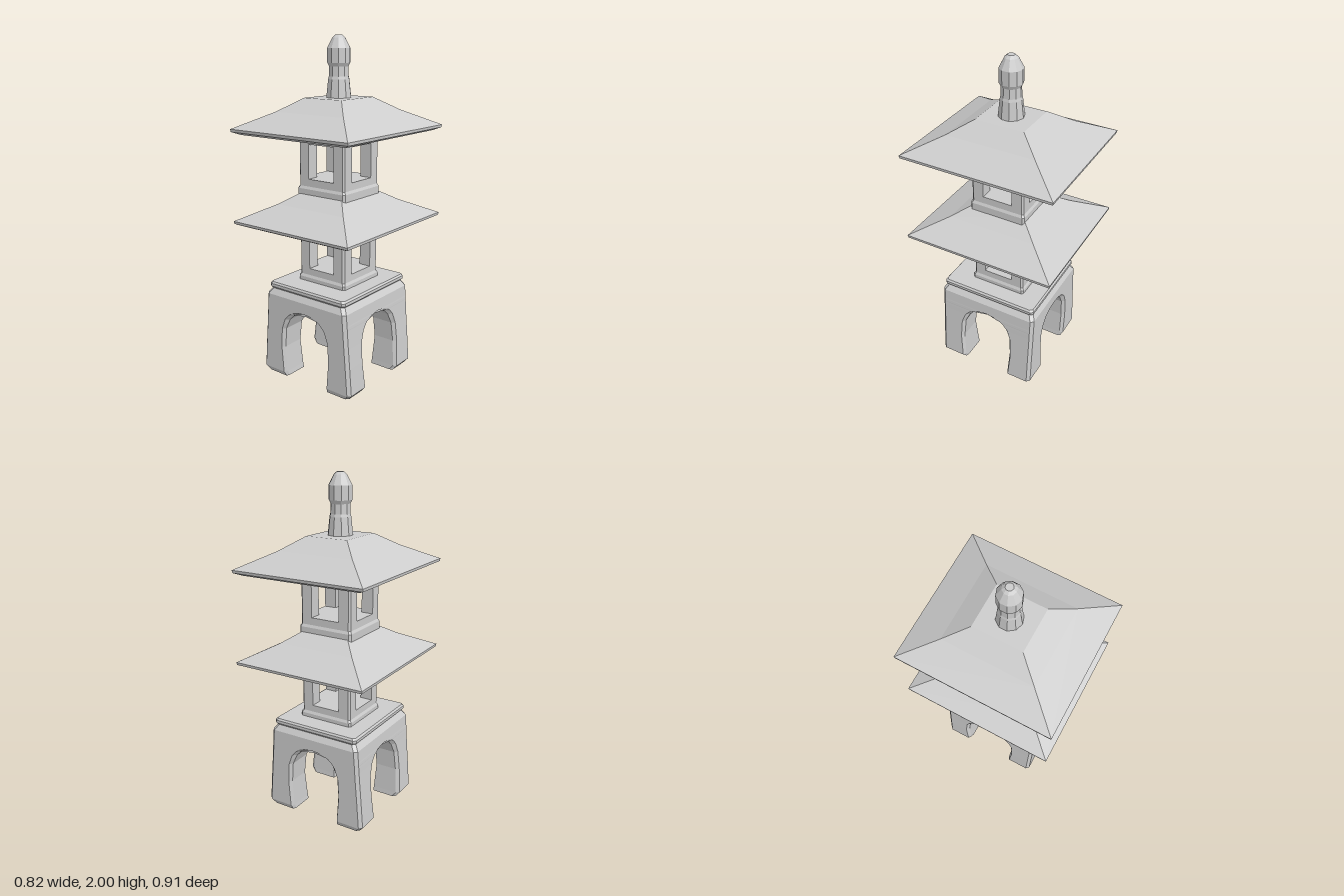
import * as THREE from 'three';

const stone = new THREE.MeshStandardMaterial({ color: 0xcccccc, side: THREE.DoubleSide });
stone.name = 'stone';

// Join rings of [x, y, z] points (ordered from +z towards +x) into faceted walls, bottom to top.
function loft(rings, capped = true, skip = () => false) {
  const pos = [];
  const tri = (a, b, c) => pos.push(...a, ...b, ...c);
  const n = rings[0].length;
  for (let i = 0; i < rings.length - 1; i++) {
    for (let j = 0; j < n; j++) {
      if (skip(i, j)) continue;
      const k = (j + 1) % n;
      const [a, b, c, d] = [rings[i][j], rings[i][k], rings[i + 1][k], rings[i + 1][j]];
      tri(a, b, c);
      tri(a, c, d);
    }
  }
  if (capped) {
    const lo = rings[0], hi = rings[rings.length - 1];
    for (let j = 1; j < n - 1; j++) {
      tri(lo[0], lo[j + 1], lo[j]);
      tri(hi[0], hi[j], hi[j + 1]);
    }
  }
  const geo = new THREE.BufferGeometry();
  geo.setAttribute('position', new THREE.Float32BufferAttribute(pos, 3));
  geo.computeVertexNormals();
  return geo;
}

function add(parent, name, geo) {
  const mesh = new THREE.Mesh(geo, stone);
  mesh.name = name;
  parent.add(mesh);
  return mesh;
}

// Rectangle at height y, with optional chamfered corners.
function rect(y, hx, hz = hx, c = 0) {
  if (!c) return [[-hx, y, hz], [hx, y, hz], [hx, y, -hz], [-hx, y, -hz]];
  return [
    [-hx + c, y, hz], [hx - c, y, hz], [hx, y, hz - c], [hx, y, -hz + c],
    [hx - c, y, -hz], [-hx + c, y, -hz], [-hx, y, -hz + c], [-hx, y, hz - c],
  ];
}

// Gently curved hip roof with a bevelled eave.
function addRoof(parent, name, y) {
  const levels = [
    [0, 0.37, 0.415], [0.017, 0.41, 0.453], [0.033, 0.412, 0.456],
    [0.125, 0.24, 0.268], [0.2, 0.132, 0.146],
  ];
  add(parent, name, loft(levels.map(([h, x, z]) => rect(y + h, x, z))));
}

// Open chamber: flared sill, four corner posts and a lintel.
function addChamber(parent, name, y0, flare, sill, lintel, top) {
  const g = new THREE.Group();
  g.name = name;
  parent.add(g);
  const H = 0.164, W = 0.09, c = 0.011;
  add(g, 'sill', loft([
    rect(y0, 0.172, 0.172, c), rect(flare - 0.015, 0.172, 0.172, c),
    rect(flare, H, H, c), rect(sill, H, H, c),
  ]));
  add(g, 'lintel', loft([rect(lintel, H, H, c), rect(top, H, H, c)]));
  const section = y => [[W, y, H], [H - c, y, H], [H, y, H - c], [H, y, W], [W, y, W]];
  const post = loft([section(sill), section(lintel)], false);
  for (let i = 0; i < 4; i++) add(g, 'cornerPost', post).rotation.y = i * Math.PI / 2;
}

// Quarter of the arched base: a leg that widens upwards until the arches close.
function legGeometry(sx, sz) {
  // height, passage half width, arch half width on the face, outer half x, outer half z
  const levels = [
    [0, 0.15, 0.158, 0.305, 0.3],
    [0.03, 0.153, 0.165, 0.33, 0.315],
    [0.19, 0.164, 0.178, 0.318, 0.315],
    [0.31, 0.156, 0.172, 0.308, 0.315],
    [0.375, 0.125, 0.148, 0.303, 0.315],
    [0.405, 0.096, 0.122, 0.301, 0.315],
    [0.418, 0.06, 0.105, 0.3, 0.315],
    [0.423, 0, 0.096, 0.3, 0.315],
    [0.437, 0, 0.062, 0.299, 0.315],
    [0.445, 0, 0, 0.298, 0.315],
    [0.51, 0, 0, 0.293, 0.315],
    [0.545, 0, 0, 0.268, 0.295],
  ];
  const b = 0.02, d = 0.018;
  const rings = levels.map(([y, a, f, X, Z]) => {
    const ring = [
      [a, a], [a, Z - b], [f, Z], [X - d, Z], [X, Z - d], [X, f], [X - b, a],
    ].map(([x, z]) => [x * sx, y, z * sz]);
    return sx * sz < 0 ? ring.reverse() : ring;
  });
  // The seams between neighbouring quarters above the arches need no walls.
  const seams = sx * sz < 0 ? [5, 6] : [0, 6];
  return loft(rings, false, (i, j) => levels[i][1] === 0 && seams.includes(j));
}

export function createModel() {
  const model = new THREE.Group();
  model.name = 'stoneLantern';

  // Arched base with four hollow-footed legs and a slab on top
  const base = new THREE.Group();
  base.name = 'archedBase';
  base.position.z = 0.01;
  model.add(base);
  for (const sx of [1, -1]) for (const sz of [1, -1]) add(base, 'leg', legGeometry(sx, sz));
  add(base, 'topSlab', loft([
    rect(0.54, 0.264, 0.292, 0.015), rect(0.555, 0.279, 0.304, 0.015),
    rect(0.572, 0.279, 0.304, 0.015), rect(0.583, 0.27, 0.296, 0.015),
  ]));

  // Two storeys, each with its roof
  addChamber(model, 'lowerChamber', 0.575, 0.62, 0.66, 0.87, 0.935);
  addRoof(model, 'lowerRoof', 0.926);
  addChamber(model, 'upperChamber', 1.08, 1.157, 1.2, 1.4, 1.465);
  addRoof(model, 'upperRoof', 1.458);

  // Ten-sided finial
  const profile = [
    [0.074, 1.65], [0.062, 1.76], [0.058, 1.775], [0.056, 1.83], [0.067, 1.85],
    [0.067, 1.93], [0.038, 1.985], [0.021, 2], [0, 2],
  ].map(([r, y]) => new THREE.Vector2(r, y));
  const finial = new THREE.LatheGeometry(profile, 10).toNonIndexed();
  finial.computeVertexNormals();
  add(model, 'finial', finial);

  return model;
}
